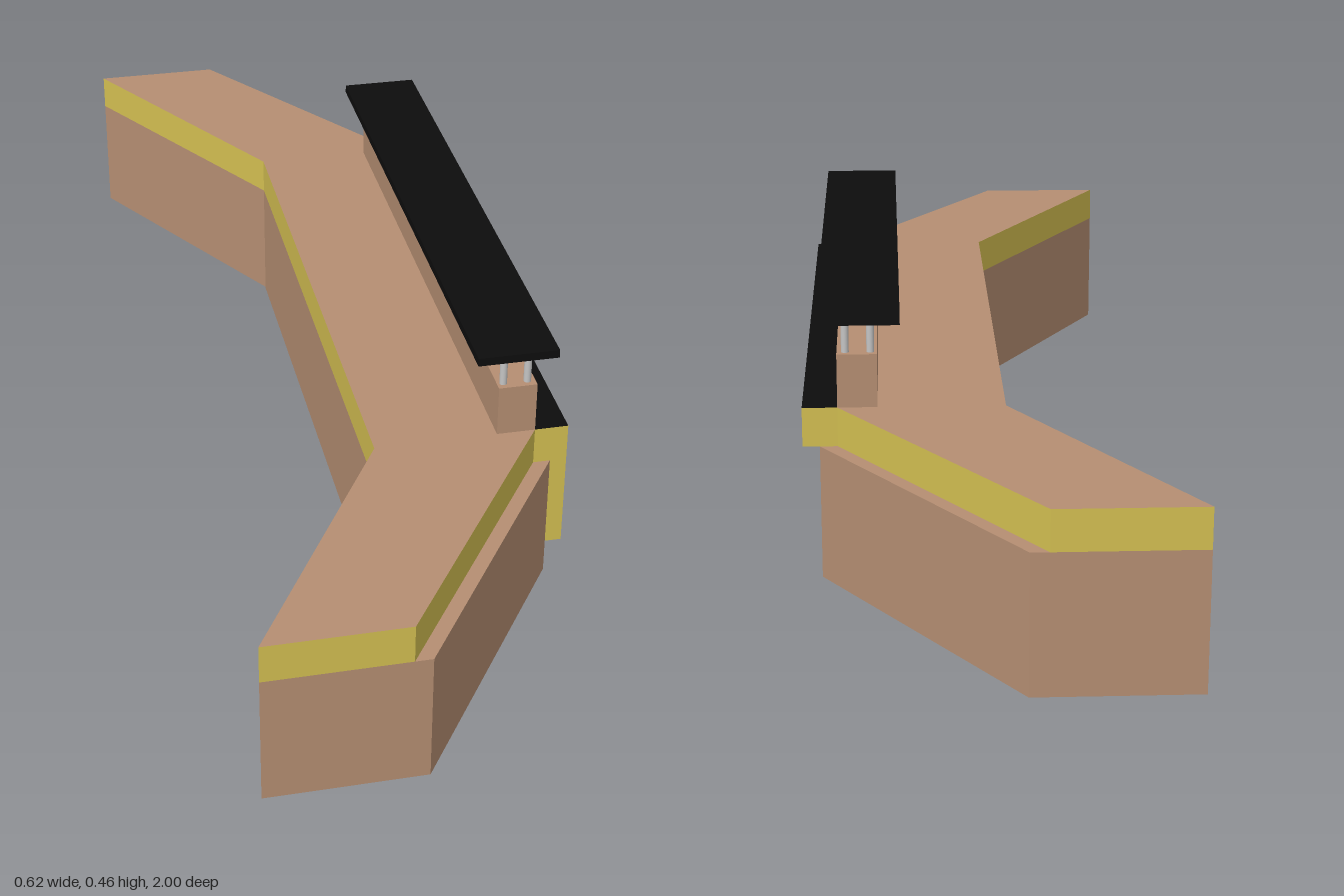
import * as THREE from 'three';

const mat = (name, color) => {
  const m = new THREE.MeshStandardMaterial({ color });
  m.name = name;
  return m;
};

export function createModel() {
  const brown = mat('brown', 0xb58e72);
  const yellow = mat('yellow', 0xd3bf51);
  const black = mat('black', 0x0d0d0d);
  const grey = mat('grey', 0xc4c4c4);

  const root = new THREE.Group();
  root.name = 'angledBuilding';

  const add = (name, geometry, material) => {
    const mesh = new THREE.Mesh(geometry, material);
    mesh.name = name;
    root.add(mesh);
    return mesh;
  };
  const box = (name, [x0, x1], [y0, y1], [z0, z1], material) => {
    const g = new THREE.BoxGeometry(x1 - x0, y1 - y0, z1 - z0);
    g.translate((x0 + x1) / 2, (y0 + y1) / 2, (z0 + z1) / 2);
    return add(name, g, material);
  };
  // Prism over a floor plan of [x, z] points
  const prism = (name, plan, y0, y1, material) => {
    const shape = new THREE.Shape(plan.map(([x, z]) => new THREE.Vector2(x, -z)));
    const g = new THREE.ExtrudeGeometry(shape, { depth: y1 - y0, bevelEnabled: false });
    g.rotateX(-Math.PI / 2).translate(0, y0, 0);
    return add(name, g, material);
  };

  const half = 0.532, bandY = 0.238, roofY = 0.306;

  // Lower storey: straight middle and two angled wings with a narrow outer ledge
  box('middleWall', [-0.03, 0.25], [0, bandY], [-half, half], brown);
  for (const [s, name] of [[1, 'frontWing'], [-1, 'backWing']]) {
    prism(name, [[-0.03, s * half], [0.28, s * half], [-0.04, s], [-0.31, s]], 0.003, bandY, brown);
  }

  // Upper band: yellow sides, brown roof
  prism('roofBand', [
    [-0.31, 1], [-0.07, 1], [0.25, half], [0.25, -half],
    [-0.07, -1], [-0.31, -1], [-0.03, -half], [-0.03, half],
  ], bandY, roofY, [brown, yellow]);

  // Tapering side panel: deep at the front, shallow at the back
  const wedge = box('taperedPanel', [0.25, 0.309], [0.065, roofY], [-half, half],
    [yellow, yellow, black, brown, yellow, yellow]);
  const pos = wedge.geometry.attributes.position;
  for (let i = 0; i < pos.count; i++) {
    if (pos.getY(i) < 0.1 && pos.getZ(i) < 0) pos.setY(i, bandY);
  }
  wedge.geometry.computeVertexNormals();

  // Rooftop parapet, posts and canopy
  box('parapet', [0.183, 0.25], [roofY, 0.398], [-half, half], brown);
  for (const x of [0.194, 0.236]) {
    for (const z of [-0.517, 0.517]) {
      const g = new THREE.CylinderGeometry(0.0065, 0.0065, 0.052, 16);
      add('canopyPost', g, grey).position.set(x, 0.423, z);
    }
  }
  box('canopy', [0.145, 0.285], [0.448, 0.463], [-0.534, 0.534], black);

  return root;
}
